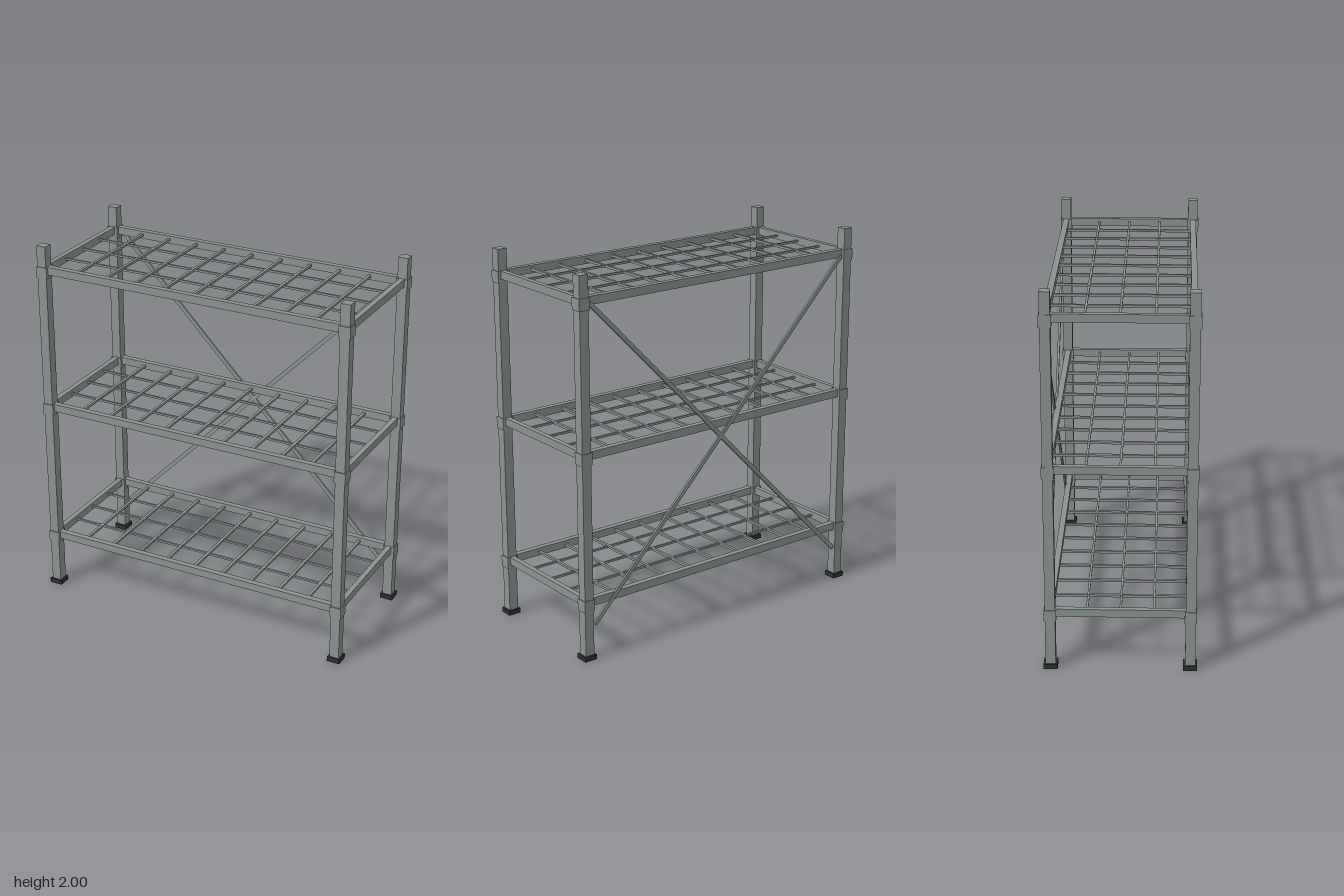
import * as THREE from 'three';

export function createModel() {
  const model = new THREE.Group();
  model.name = 'shelvingRack';

  const steel = new THREE.MeshStandardMaterial({ color: 0x8a938f });
  steel.name = 'grey steel';
  const rubber = new THREE.MeshStandardMaterial({ color: 0x2e2f2f });
  rubber.name = 'dark rubber';

  const box = (parent, name, size, pos, material = steel) => {
    const mesh = new THREE.Mesh(new THREE.BoxGeometry(...size), material);
    mesh.position.set(...pos);
    mesh.name = name;
    parent.add(mesh);
    return mesh;
  };

  const postX = 0.853, postZ = 0.354;
  const shelfHeights = [0.31, 1.089, 1.867];

  // Corner posts with feet and shelf collars
  for (const sx of [-1, 1]) {
    for (const sz of [-1, 1]) {
      const corner = new THREE.Group();
      corner.name = 'cornerPost';
      corner.position.set(sx * postX, 0, sz * postZ);
      box(corner, 'post', [0.052, 1.975, 0.052], [0, 1.0125, 0]);
      box(corner, 'foot', [0.071, 0.026, 0.071], [0, 0.013, 0], rubber);
      for (const y of shelfHeights) box(corner, 'collar', [0.062, 0.062, 0.062], [0, y - 0.011, 0]);
      model.add(corner);
    }
  }

  // Shelves: a rail frame filled with a wire grid
  for (const y of shelfHeights) {
    const shelf = new THREE.Group();
    shelf.name = 'shelf';
    shelf.position.y = y;
    for (const s of [-1, 1]) {
      box(shelf, 'longRail', [2 * postX, 0.042, 0.032], [0, 0, s * postZ]);
      box(shelf, 'endRail', [0.028, 0.042, 2 * postZ], [s * postX, 0, 0]);
    }
    for (let i = -4; i <= 4; i++) box(shelf, 'crossBar', [0.015, 0.013, 0.69], [i * 0.168, 0, 0]);
    for (let i = -1; i <= 1; i++) box(shelf, 'longBar', [1.69, 0.011, 0.011], [0, 0, i * 0.169]);
    model.add(shelf);
  }

  // Diagonal back braces
  const braceAngle = Math.atan2(1.67, 1.63);
  for (const s of [-1, 1]) {
    const brace = box(model, 'backBrace', [2.335, 0.022, 0.012], [0, 1.02, -0.37]);
    brace.rotation.z = s * braceAngle;
  }

  return model;
}
